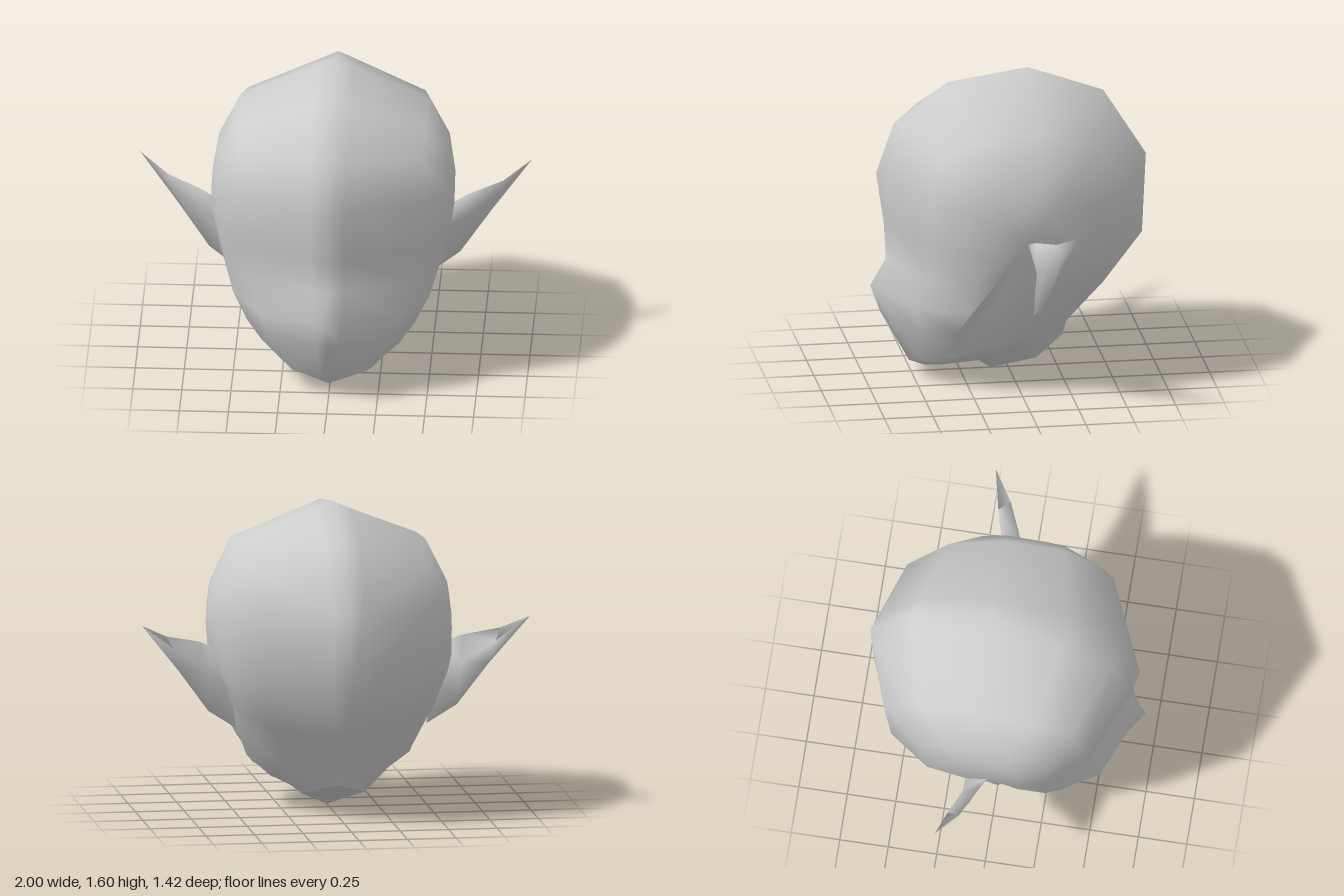
import * as THREE from 'three';
import { mergeVertices } from 'three/addons/utils/BufferGeometryUtils.js';

const skin = new THREE.MeshStandardMaterial({ color: 0xcccccc });
skin.name = 'plain grey';

// Head contours, as [x, y, z] from the nose over the crown, round the back and under the chin
const midline = [
  [0, 0.47, 0.71], [0, 0.61, 0.63], [0, 0.8, 0.64], [0, 1.07, 0.68], [0, 1.33, 0.59],
  [0, 1.54, 0.31], [0, 1.6, -0.1], [0, 1.46, -0.49], [0, 1.11, -0.71], [0, 0.69, -0.69],
  [0, 0.43, -0.49], [0, 0.23, -0.3], [0, 0.16, -0.28], [0.165, 0.095, -0.12], [0, 0, 0.09],
  [0, 0.04, 0.15], [0, 0.03, 0.43], [0, 0.06, 0.51], [0, 0.33, 0.66],
];
const shoulder = [
  [0.36, 0.46, 0.53], [0.4, 0.62, 0.46], [0.45, 0.8, 0.45], [0.48, 1.07, 0.47], [0.46, 1.28, 0.4],
  [0.48, 1.37, 0.22], [0.48, 1.39, -0.1], [0.45, 1.3, -0.38], [0.39, 1.08, -0.58], [0.4, 0.72, -0.54],
  [0.36, 0.48, -0.36], [0.27, 0.3, -0.23], [0.26, 0.23, -0.16], [0.29, 0.2, -0.05], [0.28, 0.15, 0.1],
  [0.27, 0.13, 0.2], [0.22, 0.1, 0.38], [0.19, 0.12, 0.48], [0.3, 0.31, 0.5],
];
const temple = [
  [0.5, 0.45, 0.27], [0.53, 0.62, 0.27], [0.57, 0.8, 0.28], [0.59, 1.03, 0.28], [0.59, 1.14, 0.2],
  [0.59, 1.16, 0.1], [0.59, 1.17, -0.1], [0.58, 1.14, -0.22], [0.56, 1.03, -0.36], [0.56, 0.75, -0.33],
  [0.5, 0.55, -0.24], [0.44, 0.4, -0.14], [0.43, 0.36, -0.1], [0.42, 0.31, -0.03], [0.42, 0.27, 0.04],
  [0.4, 0.25, 0.1], [0.36, 0.2, 0.25], [0.35, 0.21, 0.33], [0.43, 0.33, 0.33],
];
const sideCentre = [0.615, 0.85, 0];

const mix = (a, b, t) => a.map((v, i) => v + (b[i] - v) * t);

// Joins matching rows of points with quads; side -1 mirrors across x
function skinRows(rows, side, out, flip) {
  const put = (...pts) => {
    if ((side < 0) !== flip) pts.reverse();
    for (const [x, y, z] of pts) out.push(x * side, y, z);
  };
  for (let r = 0; r < rows.length - 1; r++) {
    const n = rows[r].length;
    for (let k = 0; k < n; k++) {
      const a = rows[r][k], b = rows[r][(k + 1) % n];
      const c = rows[r + 1][k], d = rows[r + 1][(k + 1) % n];
      put(a, b, c);
      if (c !== d) put(b, d, c);
    }
  }
}

function makeMesh(positions, name, smooth = true) {
  let geometry = new THREE.BufferGeometry();
  geometry.setAttribute('position', new THREE.Float32BufferAttribute(positions, 3));
  if (smooth) geometry = mergeVertices(geometry, 1e-4);
  geometry.computeVertexNormals();
  const mesh = new THREE.Mesh(geometry, skin);
  mesh.name = name;
  return mesh;
}

function makeHead() {
  // Narrow row beside the midline pinches the nose and its bridge
  const noseSide = midline.map((p, k) => {
    const q = mix(p, shoulder[k], 0.2);
    if (k === 0) q[2] -= 0.025;
    if (k === 1) q[2] -= 0.01;
    return q;
  });
  // Gently bulged row on the side of the head
  const sideRow = temple.map((p) => {
    const q = mix(p, sideCentre, 0.5);
    q[0] += 0.015;
    return q;
  });
  const rows = [midline, noseSide, shoulder, temple, sideRow, midline.map(() => sideCentre)];
  const positions = [];
  for (const side of [1, -1]) skinRows(rows, side, positions, true);
  return makeMesh(positions, 'head');
}

// Flat diamond closing the neck stump
function makeNeckCap() {
  const [back, left, front] = midline.slice(12, 15);
  const right = [-left[0], left[1], left[2]];
  return makeMesh([front, back, left, front, right, back].flat(), 'neckCap', false);
}

// Pointed ear: sections of top rim, hollow, lower rim and back
function makeEar(side) {
  const tip = [1, 1, -0.22];
  const rows = [
    [[0.59, 0.84, 0.0], [0.54, 0.66, -0.06], [0.49, 0.43, -0.06], [0.53, 0.68, -0.13]],
    [[0.68, 0.88, -0.04], [0.68, 0.74, -0.09], [0.64, 0.53, -0.1], [0.66, 0.75, -0.13]],
    [[0.86, 0.925, -0.12], [0.85, 0.86, -0.15], [0.8, 0.75, -0.145], [0.83, 0.87, -0.18]],
    [tip, tip, tip, tip],
  ];
  const positions = [];
  skinRows(rows, side, positions, false);
  return makeMesh(positions, side > 0 ? 'leftEar' : 'rightEar');
}

export function createModel() {
  const model = new THREE.Group();
  model.name = 'pointedEarHead';
  model.add(makeHead(), makeNeckCap(), makeEar(1), makeEar(-1));
  return model;
}
